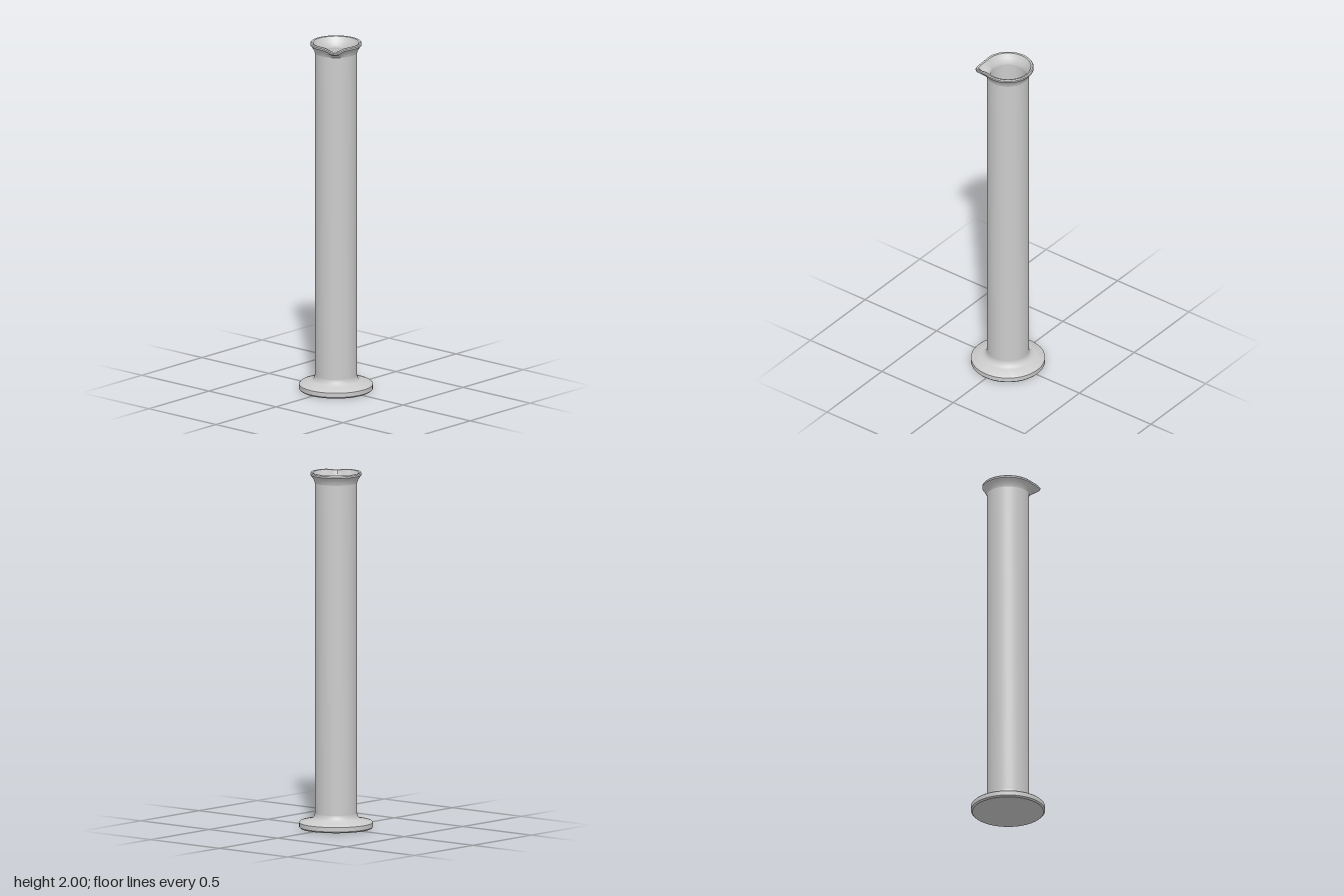
import * as THREE from 'three';
import { toCreasedNormals } from 'three/addons/utils/BufferGeometryUtils.js';

const SEGMENTS = 48;
const grey = new THREE.MeshStandardMaterial({ color: 0xcccccc });
const dark = new THREE.MeshStandardMaterial({ color: 0x111111 });

// Turned part from [radius, height] pairs, with an optional vertex rule
function turned(name, profile, rule) {
  const points = profile.map(([r, y]) => new THREE.Vector2(r, y));
  const geometry = new THREE.LatheGeometry(points, SEGMENTS);
  if (rule) {
    const pos = geometry.attributes.position;
    const v = new THREE.Vector3();
    for (let i = 0; i < pos.count; i++) {
      rule(v.fromBufferAttribute(pos, i));
      pos.setXYZ(i, v.x, v.y, v.z);
    }
  }
  const mesh = new THREE.Mesh(toCreasedNormals(geometry, 0.6), grey);
  mesh.name = name;
  return mesh;
}

// Pulls the rim outwards and slightly down into a pouring spout
const SPOUT = Math.atan2(0.113, -0.138);
function pullSpout(v) {
  const radius = Math.hypot(v.x, v.z);
  const d = Math.atan2(v.z, v.x) - SPOUT;
  const angle = Math.atan2(Math.sin(d), Math.cos(d));
  const flare = THREE.MathUtils.smoothstep(v.y, 1.94, 1.985);
  const pull = flare * Math.exp(-((angle / 0.27) ** 2));
  const scale = (radius + 0.037 * pull) / radius;
  v.x *= scale;
  v.z *= scale;
  v.y -= 0.012 * pull;
}

export function createModel() {
  const group = new THREE.Group();
  group.name = 'measuringCylinder';

  // Round foot with a sloping shoulder up to the tube
  group.add(turned('foot', [
    [0, 0], [0.198, 0], [0.206, 0.008], [0.206, 0.033], [0.198, 0.04],
    [0.15, 0.05], [0.13, 0.057], [0.12, 0.07], [0.118, 0.085],
  ]));

  // Outer and inner walls of the tube
  group.add(turned('outerWall', [[0.118, 0.085], [0.118, 1.94]]));
  group.add(turned('innerWall', [[0.1, 1.94], [0.1, 0.05]]));

  // Flared lip with the spout
  group.add(turned('lip', [
    [0.118, 1.94], [0.122, 1.955], [0.133, 1.972], [0.143, 1.985],
    [0.143, 1.994], [0.138, 2], [0.128, 1.998], [0.114, 1.972],
    [0.103, 1.955], [0.1, 1.94],
  ], pullSpout));

  // Floor inside the tube
  const floor = new THREE.Mesh(new THREE.CircleGeometry(0.1, SEGMENTS), dark);
  floor.name = 'innerFloor';
  floor.rotation.x = -Math.PI / 2;
  floor.position.y = 0.05;
  group.add(floor);

  return group;
}
